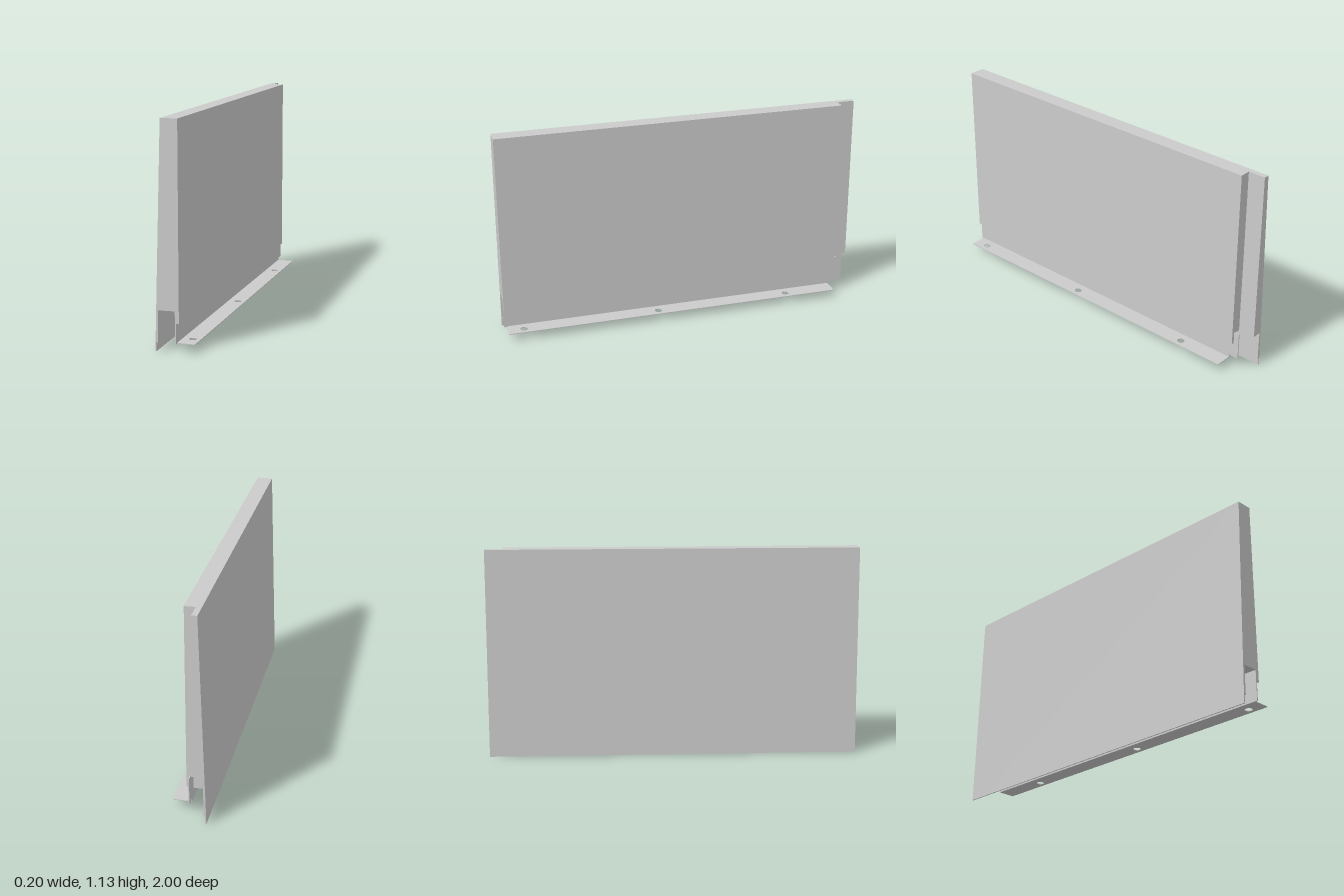
import * as THREE from 'three';

const material = new THREE.MeshStandardMaterial({ color: 0xcccccc, flatShading: true });

const outline = (points) => new THREE.Shape(points.map(([a, b]) => new THREE.Vector2(a, b)));

const extrude = (shape, depth) =>
  new THREE.ExtrudeGeometry(shape, { depth, bevelEnabled: false, curveSegments: 12 });

export function createModel() {
  const group = new THREE.Group();
  const add = (name, geometry) => {
    const mesh = new THREE.Mesh(geometry, material);
    mesh.name = name;
    group.add(mesh);
  };

  const top = 1.128, ceiling = 0.2045, step = -0.905;

  // Outer wall with its stepped lower lip, shared by both panel sections
  const wall = [
    [-0.064, top], [-0.0985, 0], [-0.0925, 0], [-0.0925, 0.045],
    [-0.0835, 0.045], [-0.0835, ceiling],
  ];

  // Main tapered panel, with a short leg beside the mounting web
  const panel = outline([
    ...wall, [0.007, ceiling], [0.007, 0.145], [0.0224, 0.145], [0.0224, top],
  ]);
  add('mainPanel', extrude(panel, 1 - step).translate(0, 0, step));

  // Thinner rebated strip at the back edge
  const rebate = outline([...wall, [-0.035, ceiling], [-0.035, top]]);
  add('backRebate', extrude(rebate, step + 1).translate(0, 0, -1));

  // Thin upright web, notched at its lower back corner
  const web = outline([
    [-1, 0.042], [0.88, 0.042], [0.88, 0.06], [0.935, 0.06], [0.935, 0.21], [-1, 0.21],
  ]);
  add('mountingWeb', extrude(web, 0.005).rotateY(Math.PI / 2).translate(0.002, 0, 0));

  // Horizontal flange with three screw holes
  const flange = outline([[0.007, -0.985], [0.0985, -0.985], [0.0985, 0.88], [0.007, 0.88]]);
  for (const z of [-0.6, 0.15, 0.9]) {
    flange.holes.push(new THREE.Path().absarc(0.06, -z, 0.02, 0, Math.PI * 2, true));
  }
  add('mountingFlange', extrude(flange, 0.004).rotateX(-Math.PI / 2).translate(0, 0.042, 0));

  return group;
}
